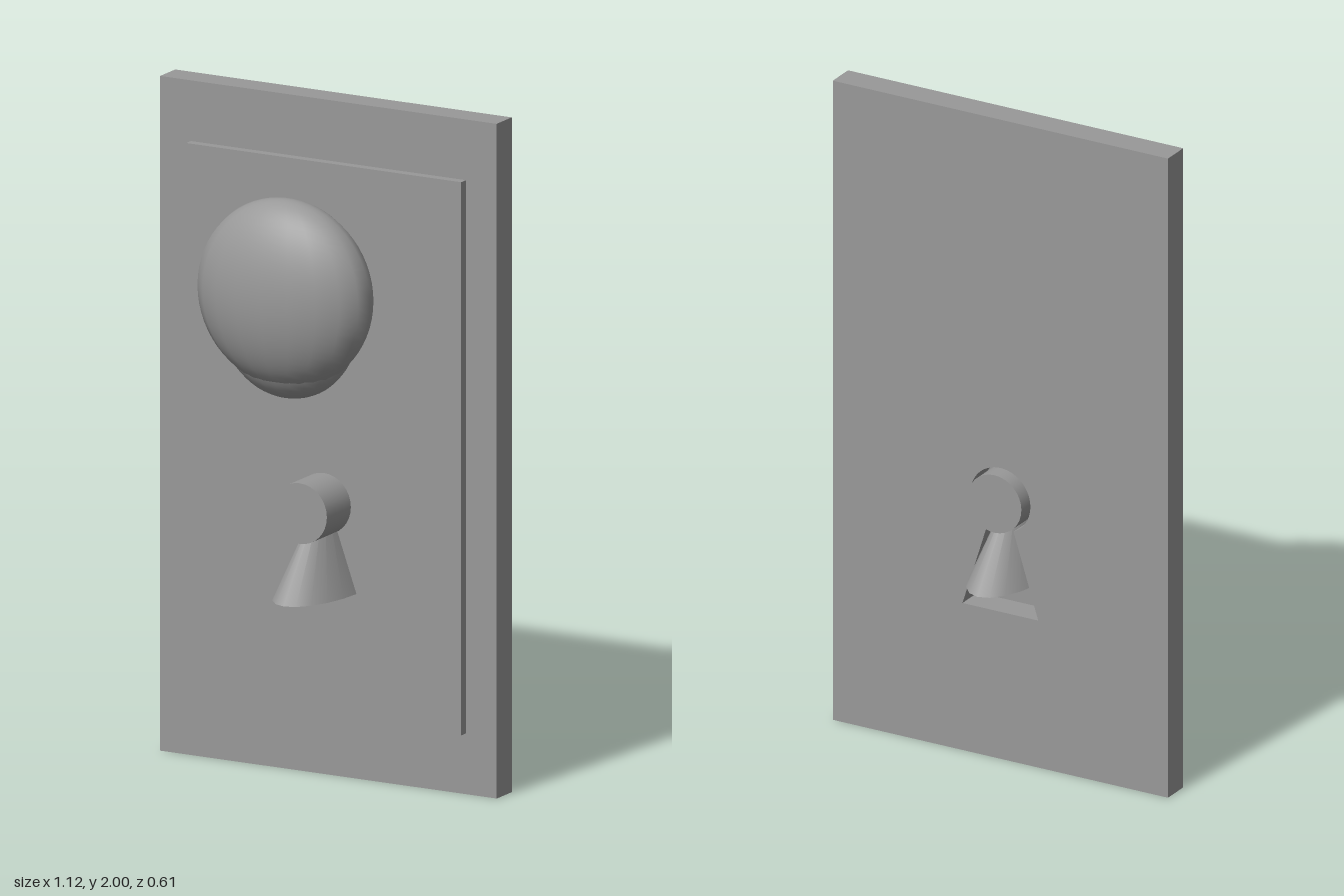
import * as THREE from 'three';

export function createModel() {
  const model = new THREE.Group();
  const grey = new THREE.MeshStandardMaterial({ color: 0x999999 });
  grey.name = 'plain grey';

  const add = (name, geometry, x, y, z) => {
    const mesh = new THREE.Mesh(geometry, grey);
    mesh.name = name;
    mesh.position.set(x, y, z);
    model.add(mesh);
    return mesh;
  };
  // Round bar running along z between two depths
  const bar = (name, radius, y, z0, z1) =>
    add(name, new THREE.CylinderGeometry(radius, radius, z1 - z0, 32).rotateX(Math.PI / 2), 0, y, (z0 + z1) / 2);
  // Flattened round knob
  const knob = (name, rx, ry, rz, y, z) =>
    add(name, new THREE.SphereGeometry(1, 20, 32).scale(rx, ry, rz), 0, y, z);

  // Door plate with a keyhole opening at the back
  const outline = new THREE.Shape([
    new THREE.Vector2(-0.558, 0), new THREE.Vector2(0.558, 0),
    new THREE.Vector2(0.558, 2), new THREE.Vector2(-0.558, 2),
  ]);
  const keyhole = new THREE.Path();
  const neck = Math.atan2(0.09, 0.044);
  keyhole.moveTo(-0.126, 0.46);
  keyhole.lineTo(0.126, 0.46);
  keyhole.lineTo(0.044, 0.72);
  keyhole.absarc(0, 0.81, 0.1, -neck, Math.PI + neck, false);
  keyhole.closePath();
  outline.holes.push(keyhole);
  add('backPlate', new THREE.ExtrudeGeometry(outline, { depth: 0.087, bevelEnabled: false, curveSegments: 24 }), 0, 0, -0.174);

  // Raised panel closing the opening from the front
  add('frontPanel', new THREE.BoxGeometry(0.912, 1.64, 0.027), 0, 1.0, -0.0735);

  // Knobs and their shafts
  knob('mainKnob', 0.28, 0.28, 0.143, 1.482, 0.16);
  knob('lowerKnob', 0.22, 0.222, 0.117, 1.39, 0.142);
  bar('mainShaft', 0.067, 1.475, -0.07, 0.1);
  bar('lowerShaft', 0.07, 1.39, -0.07, 0.1);

  // Keyhole plug: round bar over a flattened cone
  bar('keyholeBar', 0.09, 0.81, -0.208, 0.078);
  add('keyholeCone', new THREE.ConeGeometry(1, 0.305, 20).scale(0.109, 1, 0.237), 0, 0.7075, -0.067);

  return model;
}
